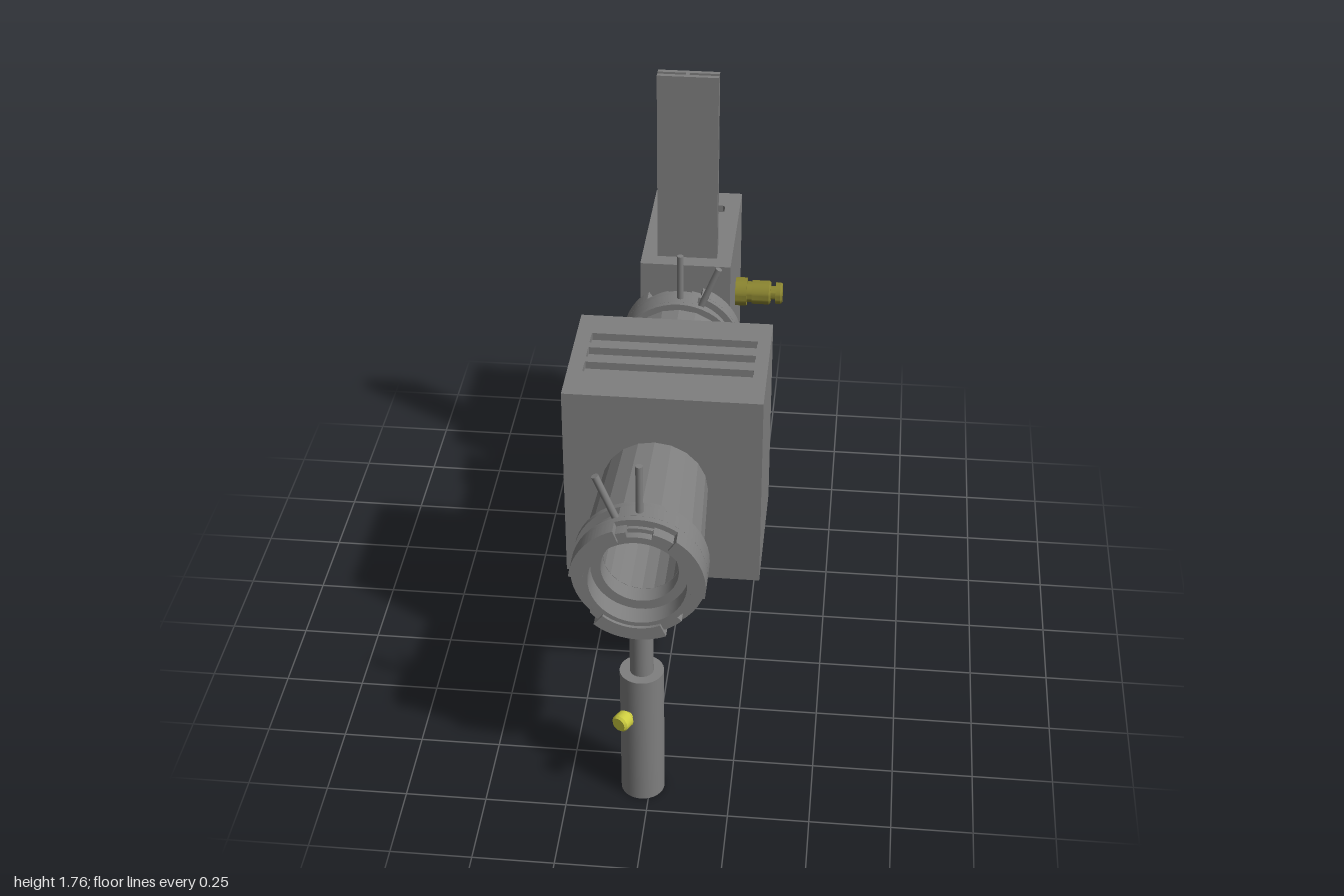
import * as THREE from 'three';
import { toCreasedNormals } from 'three/addons/utils/BufferGeometryUtils.js';

const grey = new THREE.MeshStandardMaterial({ color: 0x7f7f7f });
grey.name = 'grey metal';
const yellow = new THREE.MeshStandardMaterial({ color: 0xcccc40 });
yellow.name = 'bright yellow';
const olive = new THREE.MeshStandardMaterial({ color: 0x8a8430 });
olive.name = 'dark brass';

const AX = -0.025, AY = 0.85; // optical axis

function add(parent, name, geo, mat, x = 0, y = 0, z = 0) {
  const m = new THREE.Mesh(geo, mat);
  m.name = name;
  m.position.set(x, y, z);
  parent.add(m);
  return m;
}

// Box given by its min and max corners
function block(parent, name, a, b) {
  return add(parent, name, new THREE.BoxGeometry(b[0] - a[0], b[1] - a[1], b[2] - a[2]), grey,
    (a[0] + b[0]) / 2, (a[1] + b[1]) / 2, (a[2] + b[2]) / 2);
}

// Turned part along +z; the profile is [radius, z]
function turned(profile, sides, crease = 0.4) {
  const g = new THREE.LatheGeometry(profile.map(p => new THREE.Vector2(p[0], p[1])), sides);
  g.rotateX(Math.PI / 2);
  return toCreasedNormals(g, crease);
}

// Ring sector extruded along +z, angles in degrees
function sector(r0, r1, from, to, z0, z1) {
  const a = THREE.MathUtils.degToRad(from), b = THREE.MathUtils.degToRad(to);
  const s = new THREE.Shape();
  s.absarc(0, 0, r1, a, b, false);
  s.absarc(0, 0, r0, b, a, true);
  const g = new THREE.ExtrudeGeometry(s, { depth: z1 - z0, bevelEnabled: false, curveSegments: 30 });
  g.translate(0, 0, z0);
  return toCreasedNormals(g, 0.4);
}

// Housing whose lid has vent slots [x0, x1, z0, z1]
function housing(parent, name, a, b, slots, radius) {
  const g = new THREE.Group();
  g.name = name;
  const t = 0.025;
  block(g, 'housingBody', a, [b[0], b[1] - t, b[2]]);
  const lid = new THREE.Shape([[a[0], -b[2]], [b[0], -b[2]], [b[0], -a[2]], [a[0], -a[2]]]
    .map(p => new THREE.Vector2(...p)));
  for (const [x0, x1, z0, z1] of slots) {
    const h = new THREE.Path(), r = radius;
    h.moveTo(x0 + r, -z0);
    h.lineTo(x1 - r, -z0); h.lineTo(x1, -z0 - r);
    h.lineTo(x1, -z1 + r); h.lineTo(x1 - r, -z1);
    h.lineTo(x0 + r, -z1); h.lineTo(x0, -z1 + r);
    h.lineTo(x0, -z0 - r); h.closePath();
    lid.holes.push(h);
  }
  const geo = new THREE.ExtrudeGeometry(lid, { depth: t, bevelEnabled: false });
  geo.rotateX(-Math.PI / 2);
  add(g, 'ventedLid', geo, grey, 0, b[1] - t, 0);
  parent.add(g);
}

// Bayonet iris mount, mouth towards +z
function irisMount(name) {
  const g = new THREE.Group();
  g.name = name;
  add(g, 'core', turned([[0.115, 0], [0.178, 0], [0.178, 0.1], [0.165, 0.1], [0.165, 0.125],
    [0.145, 0.125], [0.145, 0.06], [0.115, 0.06], [0.115, 0]], 48), grey);
  add(g, 'rearBand', turned([[0.17, 0], [0.2, 0], [0.2, 0.018], [0.17, 0.018]], 48), grey);
  add(g, 'frontBand', turned([[0.17, 0.068], [0.2, 0.068], [0.2, 0.088], [0.17, 0.088]], 48), grey);
  // middle band is open where the lever slides
  add(g, 'slottedBand', sector(0.17, 0.2, -163, 107, 0.018, 0.068), grey);
  // bayonet claws
  for (let i = 0; i < 3; i++) {
    const a = 100 + i * 120;
    add(g, 'clawBase', sector(0.145, 0.183, a, a + 95, 0.085, 0.125), grey);
    add(g, 'claw', sector(0.158, 0.2, a + 10, a + 75, 0.085, 0.135), grey);
  }
  // levers
  for (const [deg, tip] of [[90, 0.358], [112, 0.34]]) {
    const len = tip - 0.17, t = THREE.MathUtils.degToRad(deg), r = 0.17 + len / 2;
    const lever = add(g, 'lever', new THREE.CylinderGeometry(0.011, 0.011, len, 16), grey,
      Math.cos(t) * r, Math.sin(t) * r, 0.046);
    lever.rotation.z = t - Math.PI / 2;
  }
  return g;
}

// Post in a holder, with a thumbscrew turned about y
function post(parent, name, x, z, top, turn) {
  const g = new THREE.Group();
  g.name = name;
  g.position.set(x, 0, z);
  add(g, 'holder', new THREE.CylinderGeometry(0.067, 0.067, 0.465, 32), grey, 0, 0.2325, 0);
  add(g, 'rod', new THREE.CylinderGeometry(0.036, 0.036, top - 0.46, 32), grey, 0, (top + 0.46) / 2, 0);
  const screw = add(g, 'thumbscrew', turned([[0, 0.05], [0.013, 0.05], [0.013, 0.076], [0.022, 0.076],
    [0.028, 0.083], [0.028, 0.113], [0.022, 0.12], [0, 0.12]], 16), yellow, 0, 0.33, 0);
  screw.rotation.y = turn;
  parent.add(g);
}

export function createModel() {
  const model = new THREE.Group();
  model.name = 'opticalBench';

  // Central housing with three long vents
  housing(model, 'mainHousing', [-0.307, 0.51, 0.015], [0.302, 1.172, 0.475],
    [0.122, 0.206, 0.29].map(z => [-0.26, 0.26, z, z + 0.055]), 0.002);

  // Rear housing with a pair of small vents
  housing(model, 'rearHousing', [-0.175, 0.56, -1], [0.13, 1.09, -0.472],
    [[-0.122, -0.03, -0.905, -0.857], [-0.018, 0.078, -0.905, -0.857]], 0.008);

  // Tapered tubes, hollow, from the housing to each mount
  const tube = len => turned([[0.115, 0], [0.163, 0], [0.18, len], [0.115, len], [0.115, 0]], 20, 0.2);
  add(model, 'frontTube', tube(0.365), grey, AX, AY, 0.47);
  add(model, 'rearTube', tube(0.3), grey, AX, AY, 0.02).rotation.y = Math.PI;

  const front = irisMount('frontIrisMount');
  front.position.set(AX, AY, 0.833);
  const back = irisMount('rearIrisMount');
  back.position.set(AX, AY, -0.28);
  back.rotation.y = Math.PI;
  model.add(front, back);

  // Entry collar of the rear housing
  add(model, 'entryCollar', turned([[0, -0.475], [0.125, -0.475], [0.125, -0.46], [0.133, -0.46],
    [0.133, -0.44], [0.11, -0.44], [0.11, -0.465], [0, -0.465]], 40), grey, AX, AY, 0);

  // Upright blade: two plates joined by a web
  block(model, 'bladeFrontPlate', [-0.122, 1.08, -0.543], [0.08, 1.757, -0.527]);
  block(model, 'bladeRearPlate', [-0.122, 1.08, -0.574], [0.08, 1.757, -0.558]);
  block(model, 'bladeWeb', [-0.029, 1.08, -0.56], [-0.017, 1.757, -0.541]);

  // Cable connector on the side of the rear housing
  add(model, 'cableConnector', turned([[0, 0], [0.05, 0], [0.05, 0.042], [0.037, 0.042], [0.037, 0.06],
    [0.042, 0.06], [0.042, 0.12], [0.036, 0.126], [0.024, 0.126], [0.024, 0.143], [0.038, 0.143],
    [0.038, 0.16], [0.034, 0.167], [0, 0.167]], 32), olive, 0.128, 0.83, -0.76).rotation.y = Math.PI / 2;

  // Supporting posts
  post(model, 'frontPost', -0.023, 0.883, 0.675, -Math.PI / 6);
  post(model, 'middlePost', -0.025, -0.318, 0.675, Math.PI / 2);
  post(model, 'rearPost', -0.028, -0.826, 0.57, Math.PI / 2);

  return model;
}
